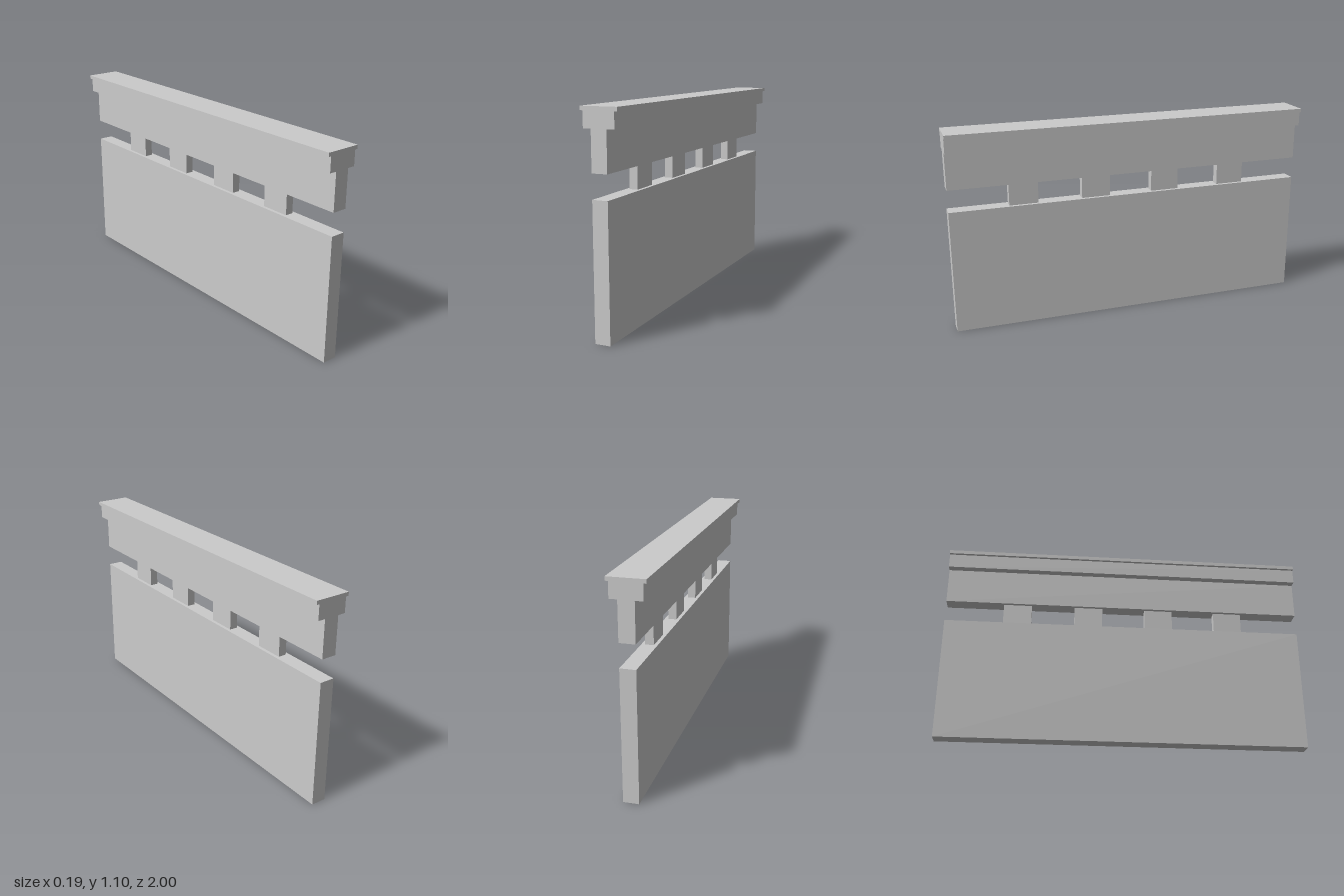
import * as THREE from 'three';

const LENGTH = 2;

export function createModel() {
  const model = new THREE.Group();
  const material = new THREE.MeshStandardMaterial({ color: 0xcccccc, flatShading: true });

  const add = (name, geometry, x, y, z) => {
    const mesh = new THREE.Mesh(geometry, material);
    mesh.name = name;
    mesh.position.set(x, y, z);
    model.add(mesh);
  };

  // Solid lower wall
  const wallTop = 0.68;
  add('lowerWall', new THREE.BoxGeometry(0.08, wallTop, LENGTH), 0, wallTop / 2, 0);

  // Short posts carrying the top rail
  const railBottom = 0.8;
  const postHeight = railBottom - wallTop;
  const postGeometry = new THREE.BoxGeometry(0.044, postHeight, 0.158);
  for (let i = 0; i < 4; i++) {
    add(`post${i + 1}`, postGeometry, 0, wallTop + postHeight / 2, 0.6 - i * 0.4);
  }

  // Top rail with stepped coping: half profile mirrored across x, then extruded
  const half = [[0.04, 0.8], [0.04, 1.0], [0.08, 1.0], [0.08, 1.08], [0.095, 1.08], [0.095, 1.1]];
  const mirrored = half.map(([x, y]) => [-x, y]).reverse();
  const profile = new THREE.Shape([...half, ...mirrored].map(([x, y]) => new THREE.Vector2(x, y)));
  const railGeometry = new THREE.ExtrudeGeometry(profile, { depth: LENGTH, bevelEnabled: false });
  add('topRail', railGeometry, 0, 0, -LENGTH / 2);

  return model;
}
